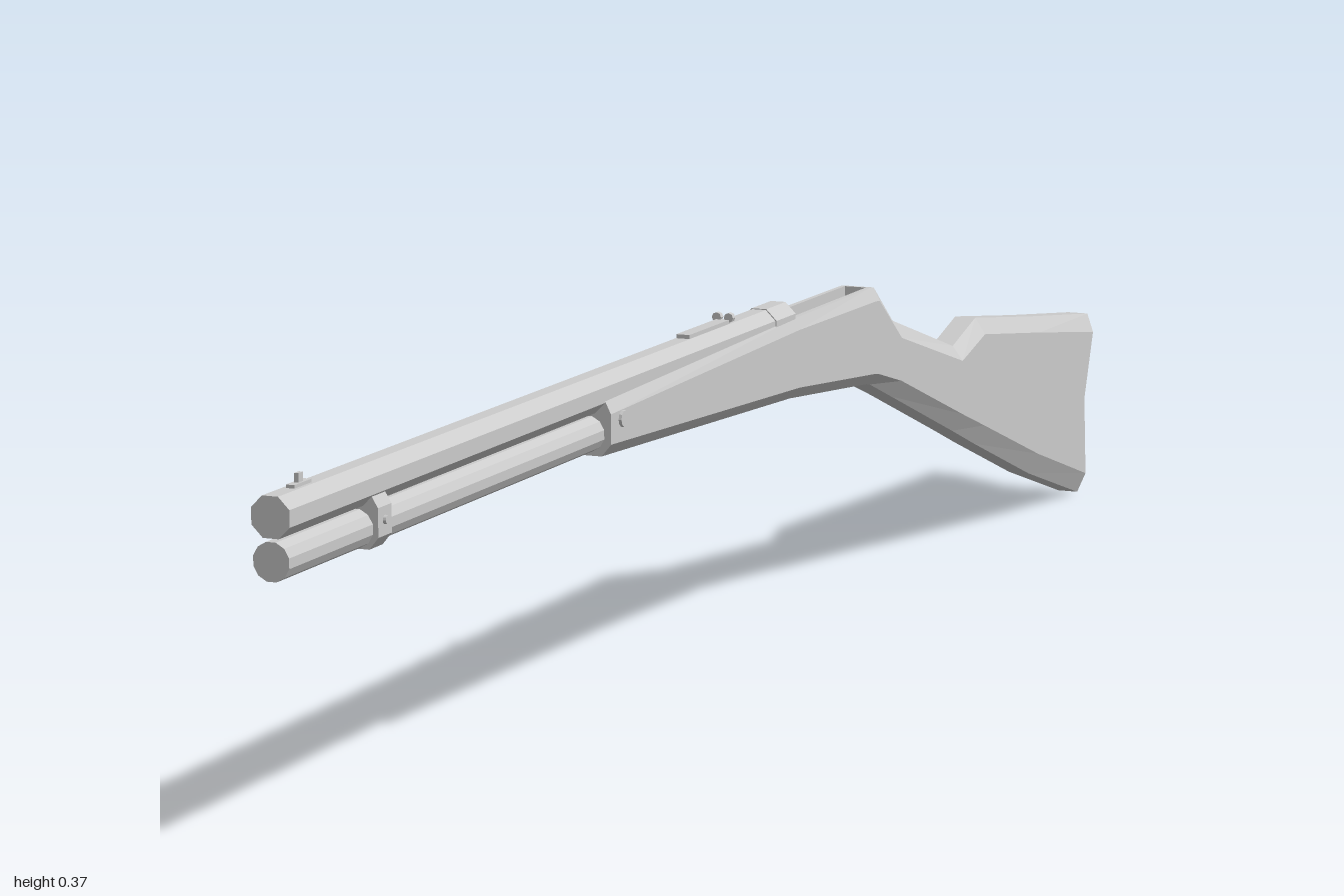
import * as THREE from 'three';

const material = new THREE.MeshStandardMaterial({ color: 0xcccccc, flatShading: true });

// Stations run from front to back:
// z, top, bottom, half width, top flat, top chamfer, bottom flat, bottom chamfer, groove half width, groove floor
const stations = [
  [0.38, 0.341, 0.288, 0.024, 0.018, 0.012, 0.014, 0.012, 0.012, 0.341],
  [-0.08, 0.35, 0.266, 0.024, 0.019, 0.012, 0.013, 0.012, 0.013, 0.35],
  [-0.08, 0.35, 0.266, 0.024, 0.019, 0.012, 0.013, 0.012, 0.013, 0.322],
  [-0.29, 0.35, 0.246, 0.024, 0.017, 0.014, 0.013, 0.012, 0.012, 0.318],
  [-0.29, 0.35, 0.246, 0.024, 0.017, 0.014, 0.013, 0.012, 0.012, 0.35],
  [-0.3, 0.349, 0.244, 0.024, 0.017, 0.014, 0.013, 0.012, 0.009, 0.349],
  [-0.3, 0.349, 0.244, 0.024, 0.017, 0.014, 0.013, 0.012, 0.009, 0.318],
  [-0.365, 0.303, 0.22, 0.024, 0.013, 0.018, 0.012, 0.018, 0.008, 0.303],
  [-0.55, 0.246, 0.15, 0.024, 0.012, 0.016, 0.012, 0.02, 0.008, 0.246],
  [-0.62, 0.267, 0.123, 0.024, 0.012, 0.018, 0.012, 0.022, 0.008, 0.267],
  [-0.8, 0.241, 0.056, 0.024, 0.012, 0.018, 0.012, 0.024, 0.008, 0.241],
  [-0.97, 0.214, 0.002, 0.023, 0.012, 0.02, 0.012, 0.024, 0.008, 0.214],
];

// Concave butt: the heel sweeps further back than the toe
function buttZ(y) {
  return y > 0.12 ? -0.962 - 0.038 * Math.pow((y - 0.12) / 0.094, 1.3)
    : -0.962 - 0.01 * (0.12 - y) / 0.12;
}

function crossSection([z, t, b, w, cT, hT, cB, hB, gi, g], isButt) {
  const lo = b + hB, hi = t - hT;
  const right = [[cB, b], [w, lo], [w, lo + (hi - lo) * 0.55], [w, hi], [cT, t], [gi, t], [gi, g]];
  const left = right.map(([x, y]) => [-x, y]).reverse();
  return [...right, ...left].map(([x, y]) => new THREE.Vector3(x, y, isButt ? buttZ(y) : z));
}

// Skin the cross-sections and close both ends
function loftBody() {
  const rings = stations.map((s, i) => crossSection(s, i === stations.length - 1));
  const pos = [];
  const tri = (a, b, c) => {
    if (new THREE.Triangle(a, b, c).getArea() < 1e-9) return;
    for (const p of [a, b, c]) pos.push(p.x, p.y, p.z);
  };
  const quad = (a, b, c, d) => { tri(a, b, c); tri(a, c, d); };
  const n = rings[0].length;
  for (let s = 0; s < rings.length - 1; s++) {
    const a = rings[s], b = rings[s + 1];
    for (let i = 0; i < n; i++) {
      const j = (i + 1) % n;
      quad(a[i], b[i], b[j], a[j]);
    }
  }
  const f = rings[0], r = rings[rings.length - 1];
  for (let i = 0; i < n / 2 - 1; i++) {
    const li = n - 1 - i;
    quad(f[i], f[i + 1], f[li - 1], f[li]);
    quad(r[li], r[li - 1], r[i + 1], r[i]);
  }
  const geo = new THREE.BufferGeometry();
  geo.setAttribute('position', new THREE.Float32BufferAttribute(pos, 3));
  geo.computeVertexNormals();
  return geo;
}

export function createModel() {
  const group = new THREE.Group();
  const add = (name, geo, x = 0, y = 0, z = 0) => {
    const mesh = new THREE.Mesh(geo, material);
    mesh.name = name;
    mesh.position.set(x, y, z);
    group.add(mesh);
    return mesh;
  };
  // Rod lying along z with a flat side upwards
  const rod = (name, r, sides, y, z0, z1) => {
    const geo = new THREE.CylinderGeometry(r, r, z1 - z0, sides, 1, false, Math.PI / sides);
    geo.rotateX(Math.PI / 2);
    return add(name, geo, 0, y, (z0 + z1) / 2);
  };
  const box = (name, w, h, d, x, y, z) => add(name, new THREE.BoxGeometry(w, h, d), x, y, z);

  add('stockAndReceiver', loftBody());

  // Barrel, lower tube and breech
  rod('barrel', 0.0195, 8, 0.347, -0.08, 1);
  rod('lowerTube', 0.0175, 12, 0.309, 0.3, 1);
  rod('breechRing', 0.021, 8, 0.3465, -0.08, -0.03);

  // Band clasping barrel and tube
  const band = new THREE.Shape();
  [[0.013, 0.291], [0.022, 0.302], [0.022, 0.328], [0.016, 0.338],
    [-0.016, 0.338], [-0.022, 0.328], [-0.022, 0.302], [-0.013, 0.291]]
    .forEach(([x, y], i) => (i ? band.lineTo(x, y) : band.moveTo(x, y)));
  add('barrelBand', new THREE.ExtrudeGeometry(band, { depth: 0.025, bevelEnabled: false }), 0, 0, 0.825);

  // Cross pins through band and fore end
  const pin = (name, r, length, y, z) => {
    const geo = new THREE.CylinderGeometry(r, r, length, 10);
    geo.rotateZ(Math.PI / 2);
    add(name, geo, 0, y, z);
  };
  pin('bandPin', 0.004, 0.05, 0.316, 0.8375);
  pin('foreEndPin', 0.008, 0.054, 0.321, 0.355);

  // Sights
  box('frontSightBase', 0.008, 0.004, 0.03, 0, 0.366, 0.95);
  box('frontSightBlade', 0.004, 0.01, 0.008, 0, 0.371, 0.95);
  box('rearSightLeaf', 0.014, 0.004, 0.1, 0, 0.367, 0.11);
  for (const side of [1, -1]) {
    const ear = add('rearSightEar', new THREE.CylinderGeometry(0.005, 0.005, 0.006, 8), side * 0.0065, 0.371, 0.06);
    ear.rotation.x = Math.PI / 2;
  }

  // Side gate on the right of the receiver
  for (const y of [0.298, 0.316]) box('gateRidge', 0.003, 0.003, 0.07, -0.0242, y, -0.12);

  return group;
}
